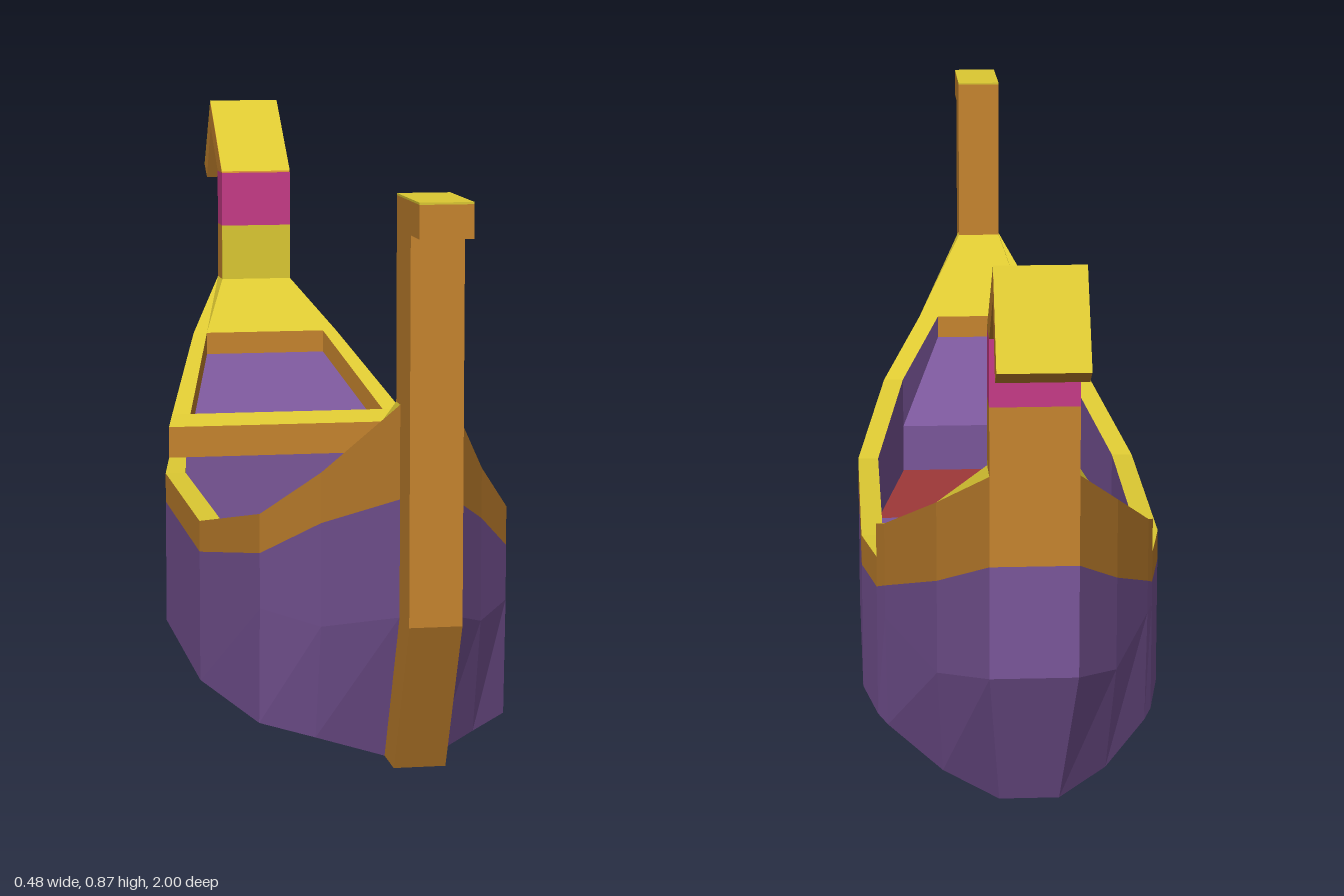
import * as THREE from 'three';

const paint = (name, color) => new THREE.MeshStandardMaterial({ name, color, side: THREE.DoubleSide });

// Hull stations from stern to bow: top z, keel z, half width, keel half width,
// inner half width, paint line height, gunwale height
const STATIONS = [
  [-0.81, -0.70, 0.065, 0.045, 0.065, 0.40, 0.535],
  [-0.64, -0.58, 0.135, 0.125, 0.11, 0.325, 0.447],
  [-0.38, -0.38, 0.208, 0.205, 0.175, 0.233, 0.335],
  [-0.33, -0.33, 0.22, 0.22, 0.19, 0.215, 0.32],
  [-0.33, -0.33, 0.22, 0.22, 0.19, 0.215, 0.265],
  [-0.20, -0.20, 0.242, 0.242, 0.207, 0.21, 0.26],
  [0.25, 0.25, 0.242, 0.242, 0.207, 0.21, 0.26],
  [0.55, 0.54, 0.19, 0.19, 0.155, 0.265, 0.325],
  [0.69, 0.64, 0.12, 0.12, 0.085, 0.335, 0.41],
  [0.87, 0.76, 0.038, 0.038, 0.038, 0.40, 0.535],
].map(([z, zb, w, wb, wi, line, top], i, all) => ({
  z, zb, w, wb, wi, line, top,
  knee: i === 0 || i === all.length - 1 ? 0.23 : 0.18,
}));
const FLOOR = 0.15;

export function createModel() {
  const model = new THREE.Group();
  model.name = 'boat';
  const purple = paint('purple hull', 0x7a5699);
  const orange = paint('orange wood', 0xc6842e);
  const yellow = paint('yellow trim', 0xdcc832);
  const pink = paint('pink band', 0xc63b86);
  const red = paint('red floor', 0x9e3838);

  const add = (name, geometry, material) => {
    const mesh = new THREE.Mesh(geometry, material);
    mesh.name = name;
    model.add(mesh);
    return mesh;
  };

  // Faceted sheet through rows of [x, y, z] points
  const sheet = (name, material, rows) => {
    const pos = [];
    for (let i = 0; i + 1 < rows.length; i++) {
      for (let j = 0; j + 1 < rows[i].length; j++) {
        const a = rows[i][j], b = rows[i][j + 1], c = rows[i + 1][j + 1], d = rows[i + 1][j];
        pos.push(...a, ...c, ...b, ...a, ...d, ...c);
      }
    }
    const g = new THREE.BufferGeometry();
    g.setAttribute('position', new THREE.Float32BufferAttribute(pos, 3));
    g.computeVertexNormals();
    return add(name, g, material);
  };
  const mirrored = (name, material, rows) => {
    sheet(name + 'Left', material, rows);
    sheet(name + 'Right', material, rows.map(r => r.map(([x, y, z]) => [-x, y, z]).reverse()));
  };
  // Level sheet across the boat from [half width, y, z] rows
  const across = (name, material, rows) =>
    sheet(name, material, rows.map(([w, y, z]) => [[w, y, z], [-w, y, z]]));

  // Side profile of [z, y] points extruded across the boat
  const profile = (name, material, points, width) => {
    const shape = new THREE.Shape(points.map(p => new THREE.Vector2(...p)));
    const g = new THREE.ExtrudeGeometry(shape, { depth: width, bevelEnabled: false });
    g.rotateY(-Math.PI / 2).translate(width / 2, 0, 0);
    return add(name, g, material);
  };
  const block = (name, material, w, y0, y1, z0, z1) =>
    add(name, new THREE.BoxGeometry(w, y1 - y0, z1 - z0)
      .translate(0, (y0 + y1) / 2, (z0 + z1) / 2), material);

  // Outer hull, painted band and bottom
  mirrored('hullSide', purple, STATIONS.map(s => [
    [s.w, s.line, s.z], [s.w, s.knee, s.z], [s.wb, 0, s.zb]]));
  mirrored('hullBand', orange, STATIONS.map(s => [[s.w, s.top, s.z], [s.w, s.line, s.z]]));
  across('hullBottom', purple, STATIONS.map(s => [s.wb, 0, s.zb]).reverse());

  // Flat ends of the hull
  const stern = STATIONS[0], bow = STATIONS[STATIONS.length - 1];
  for (const [name, s] of [['stern', stern], ['bow', bow]]) {
    const rows = [[s.w, s.line, s.z], [s.w, s.knee, s.z], [s.wb, 0, s.zb]];
    const cap = [[s.w, s.top, s.z], [s.w, s.line, s.z]];
    across(name + 'End', purple, name === 'stern' ? rows.reverse() : rows);
    across(name + 'EndBand', orange, name === 'stern' ? cap.reverse() : cap);
  }

  // Gunwale rims and the walls inside them
  const rim = s => [[s.wi, s.top, s.z], [s.w, s.top, s.z]];
  const aft = STATIONS.slice(1, 4), main = STATIONS.slice(4, 9);
  mirrored('aftRim', yellow, aft.map(rim));
  mirrored('mainRim', yellow, main.map(rim));
  mirrored('aftInnerWall', orange, aft.map(s => [[s.wi, s.top - 0.04, s.z], [s.wi, s.top, s.z]]));
  mirrored('mainInnerWall', purple, main.map(s => [[s.wi, FLOOR, s.z], [s.wi, s.top, s.z]]));

  // Cross beam at the step, with the bulkhead beneath it
  const [deckEnd, beamBack, beamFront] = aft;
  across('crossBeamTop', yellow, [[beamBack.wi, 0.335, -0.38], [beamFront.wi, 0.32, -0.33]]);
  across('crossBeamFront', orange, [[beamFront.w, 0.32, -0.33], [beamFront.w, 0.265, -0.33]]);
  across('crossBeamBack', orange, [[beamBack.wi, 0.295, -0.38], [beamBack.wi, 0.335, -0.38]]);
  across('bulkhead', purple, [[beamFront.wi, 0.265, -0.33], [beamFront.wi, FLOOR, -0.33]]);

  // Sloping aft floor and the edge of the stern deck
  across('aftFloor', purple, [[deckEnd.wi, 0.407, -0.64], [beamBack.wi, 0.295, -0.38]]);
  across('sternDeckEdge', orange, [[deckEnd.wi, 0.447, -0.64], [deckEnd.wi, 0.407, -0.64]]);

  // Main floor, red section and raised forward platform
  across('mainFloor', purple, [[0.19, FLOOR, -0.33], [0.207, FLOOR, -0.2], [0.207, FLOOR, 0.25]]);
  across('redFloor', red, [[0.207, FLOOR, 0.25], [0.155, FLOOR, 0.55]]);
  across('platformStep', purple, [[0.155, FLOOR, 0.55], [0.155, 0.235, 0.55]]);
  across('platform', purple, [[0.155, 0.235, 0.55], [0.085, 0.37, 0.69]]);
  across('bowDeckEdge', orange, [[0.085, 0.37, 0.69], [0.085, 0.41, 0.69]]);

  // End decks rising to the posts
  const deck = (name, s, w, zOuter, zInner) => sheet(name, yellow, [
    [[s.w, s.top, s.z], [s.wi, s.top, s.z], [-s.wi, s.top, s.z], [-s.w, s.top, s.z]],
    [[w, 0.535, zOuter], [w, 0.535, zInner], [-w, 0.535, zInner], [-w, 0.535, zOuter]],
  ]);
  deck('sternDeck', deckEnd, 0.065, -0.81, -0.75);
  deck('bowDeck', STATIONS[8], 0.038, 0.87, 0.84);

  // Bow post with its forward cap
  profile('bowPost', orange, [
    [0.76, 0], [0.83, 0], [0.94, 0.23], [0.94, 0.78], [1, 0.78], [1, 0.827],
    [0.84, 0.827], [0.84, 0.46], [0.87, 0.46], [0.87, 0.23]], 0.076);
  block('bowPostTop', yellow, 0.076, 0.827, 0.83, 0.84, 1);

  // Stern post with pink band
  block('sternPost', orange, 0.13, 0.53, 0.637, -0.81, -0.753);
  block('sternPostFront', yellow, 0.13, 0.535, 0.637, -0.753, -0.75);
  block('sternPostBand', pink, 0.13, 0.637, 0.737, -0.81, -0.75);

  // Bent stern ornament, yellow on its outer faces
  profile('sternHook', orange, [
    [-0.75, 0.737], [-0.81, 0.737], [-0.906, 0.815], [-0.964, 0.713], [-0.998, 0.735], [-0.912, 0.862]], 0.13);
  across('sternHookTop', yellow, [[0.065, 0.74, -0.75], [0.065, 0.865, -0.912], [0.065, 0.735, -1]].reverse());

  return model;
}
